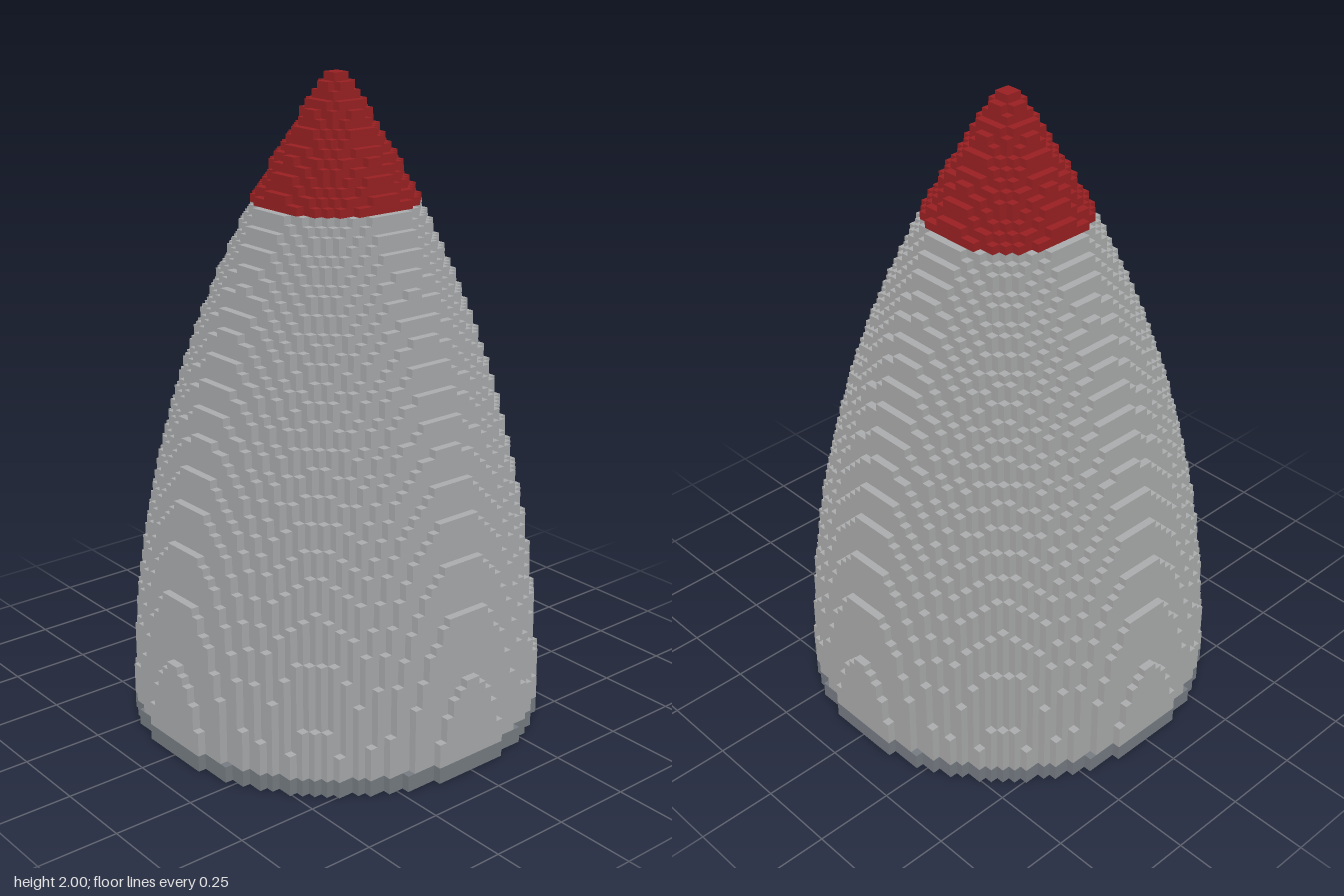
import * as THREE from 'three';

const LAYERS = 79;          // height in voxels
const HALF = 25;            // base radius in voxels
const V = 2 / LAYERS;       // voxel size
const OGIVE = 80;           // ideal height of the ogive curve, in voxels
const RHO = (HALF * HALF + OGIVE * OGIVE) / (2 * HALF); // radius of the ogive arc

const ogiveRadius = (y) => Math.sqrt(RHO * RHO - y * y) + HALF - RHO;

// Number of voxels stacked in column (i, k); the shape only narrows upward.
function columnHeight(i, k) {
  const d = Math.hypot(i + 0.5, k + 0.5);
  let h = 0;
  while (h < LAYERS && d <= ogiveRadius(h + 0.5)) h++;
  return h;
}

// Exposed voxel faces between layers lo and hi.
function bandGeometry(lo, hi) {
  const pos = [], nor = [];
  const quad = (a, b, c, d, n) => {
    for (const p of [a, b, c, a, c, d]) {
      pos.push(p[0] * V, p[1] * V, p[2] * V);
      nor.push(...n);
    }
  };
  for (let i = -HALF; i < HALF; i++) {
    for (let k = -HALF; k < HALF; k++) {
      const h = columnHeight(i, k);
      if (h <= lo) continue;
      const x0 = i, x1 = i + 1, z0 = k, z1 = k + 1;
      // step top
      if (h <= hi) quad([x0, h, z1], [x1, h, z1], [x1, h, z0], [x0, h, z0], [0, 1, 0]);
      // underside
      if (lo === 0) quad([x0, 0, z0], [x1, 0, z0], [x1, 0, z1], [x0, 0, z1], [0, -1, 0]);
      // walls rising above each lower neighbour
      const top = Math.min(h, hi);
      const wall = (dx, dz, ax, az, bx, bz) => {
        const low = Math.max(lo, columnHeight(i + dx, k + dz));
        if (low < top) quad([ax, low, az], [bx, low, bz], [bx, top, bz], [ax, top, az], [dx, 0, dz]);
      };
      wall(0, 1, x0, z1, x1, z1);
      wall(0, -1, x1, z0, x0, z0);
      wall(1, 0, x1, z1, x1, z0);
      wall(-1, 0, x0, z0, x0, z1);
    }
  }
  const geo = new THREE.BufferGeometry();
  geo.setAttribute('position', new THREE.Float32BufferAttribute(pos, 3));
  geo.setAttribute('normal', new THREE.Float32BufferAttribute(nor, 3));
  return geo;
}

export function createModel() {
  const group = new THREE.Group();
  group.name = 'noseCone';
  const bands = [
    ['baseRing', 0, 2, 'slateGrey', 0x757b82],
    ['coneBody', 2, 64, 'lightGrey', 0xa9aaab],
    ['redTip', 64, LAYERS, 'darkRed', 0x982022],
  ];
  for (const [name, lo, hi, colorName, color] of bands) {
    const material = new THREE.MeshStandardMaterial({ color });
    material.name = colorName;
    const mesh = new THREE.Mesh(bandGeometry(lo, hi), material);
    mesh.name = name;
    group.add(mesh);
  }
  return group;
}
